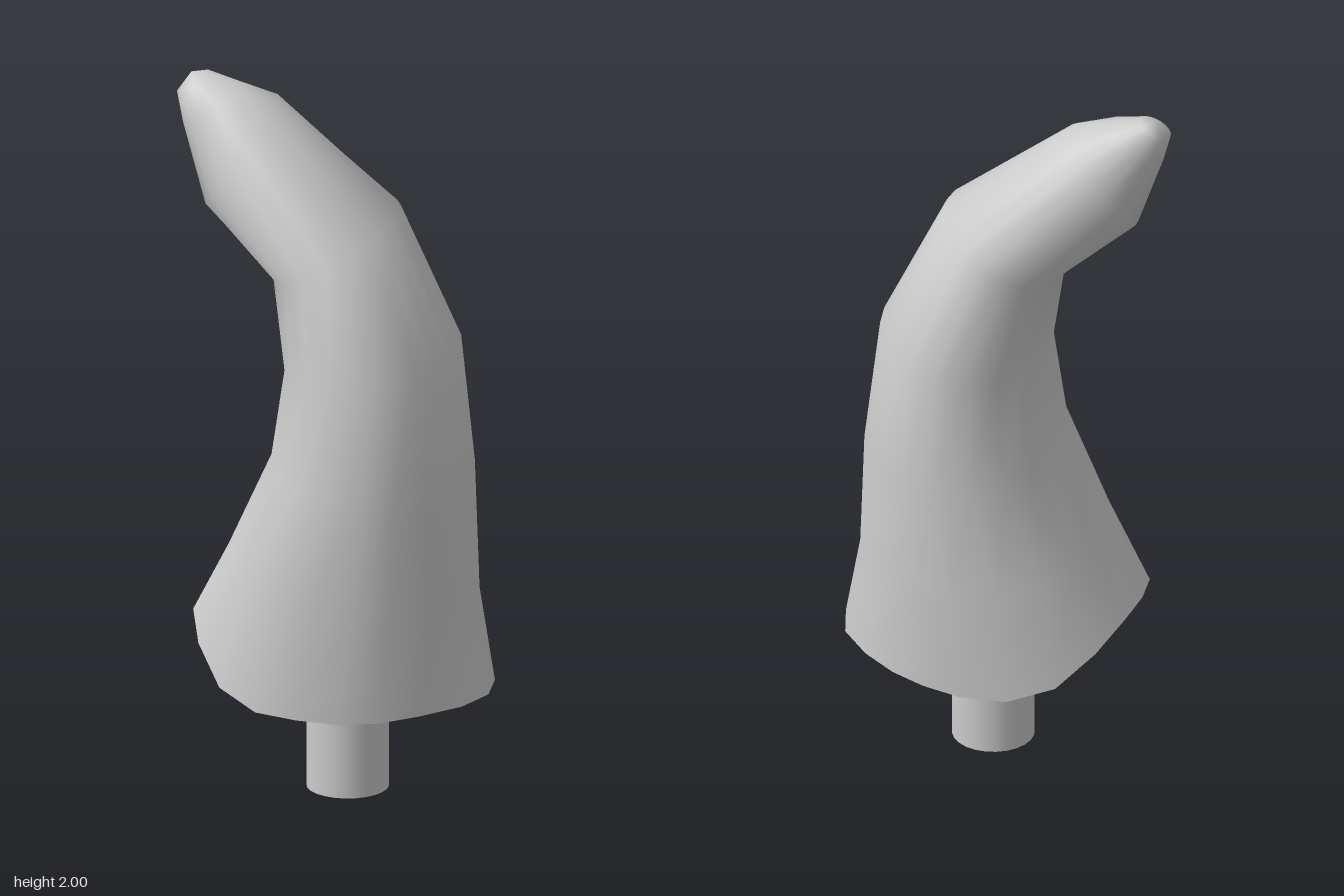
import * as THREE from 'three';

// Base rim [x, y, z]: starts at the right side and runs round the back, left and front.
const RIM = [
  [-0.345, 0.30, 0.05], [-0.36, 0.34, -0.08], [-0.33, 0.43, -0.20], [-0.26, 0.485, -0.30],
  [-0.16, 0.495, -0.36], [-0.06, 0.48, -0.385], [0.06, 0.42, -0.38], [0.17, 0.34, -0.33],
  [0.26, 0.30, -0.23], [0.315, 0.295, -0.11], [0.34, 0.30, 0], [0.35, 0.31, 0.10],
  [0.335, 0.32, 0.21], [0.28, 0.32, 0.33], [0.19, 0.32, 0.405], [0.07, 0.32, 0.43],
  [-0.055, 0.31, 0.39], [-0.15, 0.30, 0.34], [-0.23, 0.295, 0.27], [-0.295, 0.295, 0.16],
];

// Cross-sections up the horn: mid height, tilt, x range, z range, skew.
// A negative skew widens the section from front right to back left.
const SECTIONS = [
  [0.635, -0.03, -0.32, 0.357, -0.31, 0.40, -0.01],
  [0.94, -0.01, -0.28, 0.358, -0.20, 0.40, -0.18],
  [1.26, 0.016, -0.25, 0.335, -0.16, 0.355, -0.25],
  [1.57, 0.045, -0.24, 0.235, -0.20, 0.20, -0.4],
  [1.80, 0.08, -0.267, 0.01, -0.36, -0.14, -0.42],
  [1.925, 0.035, -0.253, -0.085, -0.415, -0.26, -0.25],
  [1.975, 0.018, -0.235, -0.135, -0.425, -0.345, -0.1],
];
const TIP = [-0.185, 2.0, -0.392];

const material = new THREE.MeshStandardMaterial({ color: 0xcccccc });

function meshFrom(name, positions, index) {
  const geometry = new THREE.BufferGeometry();
  geometry.setAttribute('position', new THREE.Float32BufferAttribute(positions.flat(), 3));
  geometry.setIndex(index);
  geometry.computeVertexNormals();
  const mesh = new THREE.Mesh(geometry, material);
  mesh.name = name;
  return mesh;
}

// A skewed ellipse filling the section's ranges, tilted with the bend.
function sectionRing([mid, tilt, x0, x1, z0, z1, skew]) {
  const phase = Math.asin(skew) / 2;
  return RIM.map(([x, , z]) => {
    const angle = Math.atan2(z - 0.02, x);
    const nx = Math.cos(angle - phase);
    const nz = Math.sin(angle + phase);
    return [
      THREE.MathUtils.lerp(x0, x1, (nx + 1) / 2),
      mid + (tilt * (nx + nz)) / (1 + skew),
      THREE.MathUtils.lerp(z0, z1, (nz + 1) / 2),
    ];
  });
}

function createHorn() {
  const n = RIM.length;
  const rings = [RIM, ...SECTIONS.map(sectionRing)];
  const points = [...rings.flat(), TIP];
  const index = [];
  for (let k = 0; k < rings.length; k++) {
    for (let i = 0; i < n; i++) {
      const a = k * n + i;
      const b = k * n + ((i + 1) % n);
      if (k === rings.length - 1) index.push(a, points.length - 1, b);
      else index.push(a, a + n, b, b, a + n, b + n);
    }
  }
  return meshFrom('horn', points, index);
}

// Underside: nearly flat, with the rear folding upwards.
function createUnderside() {
  const index = [];
  for (let i = 1; i < RIM.length - 1; i++) index.push(0, i, i + 1);
  return meshFrom('underside', RIM, index);
}

export function createModel() {
  const group = new THREE.Group();
  group.name = 'hornWithPeg';

  // Mounting peg
  const peg = new THREE.Mesh(new THREE.CylinderGeometry(0.113, 0.113, 0.33, 24), material);
  peg.name = 'peg';
  peg.position.set(0.01, 0.165, 0.03);

  group.add(createHorn(), createUnderside(), peg);
  return group;
}
